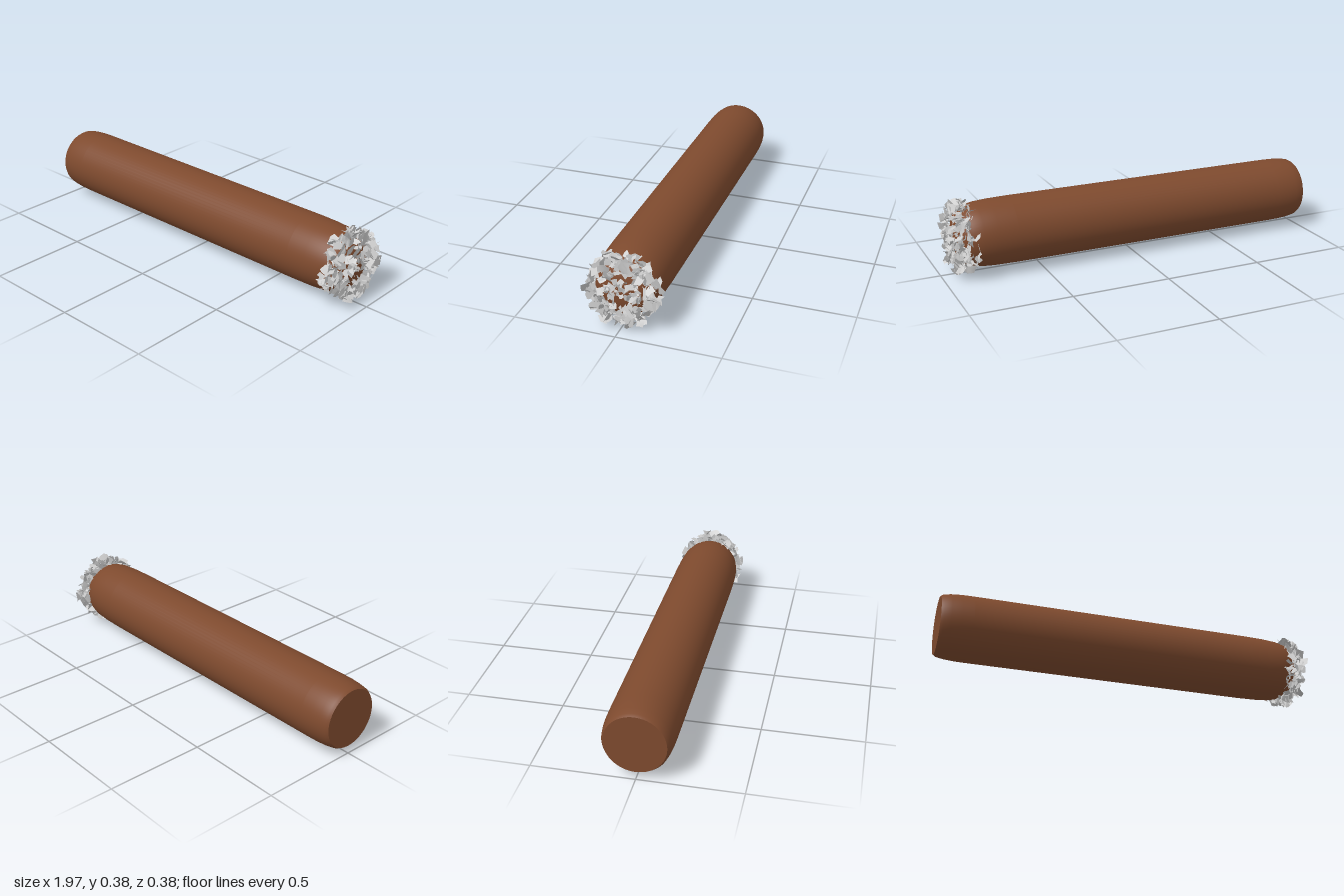
import * as THREE from 'three';
import { mergeGeometries } from 'three/addons/utils/BufferGeometryUtils.js';

const CENTER_Y = 0.192;

// Small seeded generator
function seeded(seed) {
  return () => {
    seed = (seed * 1664525 + 1013904223) >>> 0;
    return seed / 4294967296;
  };
}

// Rolled body: a lathe around x, flat at one end and rounded at the burnt tip
function createBody() {
  const profile = [
    [0.148, -1], [0.157, -0.985], [0.163, -0.95], [0.167, -0.9], [0.168, -0.84],
    [0.168, 0.64], [0.166, 0.74], [0.161, 0.81], [0.15, 0.86], [0.13, 0.895],
    [0.1, 0.915], [0.05, 0.925], [0, 0.928],
  ].map(([r, x]) => new THREE.Vector2(r, x));
  const brown = new THREE.MeshStandardMaterial({ color: 0x7e4a2e });
  const group = new THREE.Group();
  group.name = 'body';

  const wrapper = new THREE.Mesh(new THREE.LatheGeometry(profile, 64), brown);
  wrapper.name = 'wrapper';
  wrapper.rotation.z = -Math.PI / 2;

  const cap = new THREE.Mesh(new THREE.CircleGeometry(0.148, 64), brown);
  cap.name = 'endCap';
  cap.rotation.y = -Math.PI / 2;
  cap.position.x = -1;

  group.add(wrapper, cap);
  return group;
}

// One curled, ragged flake made by bending a small plane
function createFlake(size, rand) {
  const flake = new THREE.PlaneGeometry(size, size * (0.6 + 0.5 * rand()), 2, 2);
  const p = flake.attributes.position;
  const curl = (rand() - 0.5) * 14;
  for (let i = 0; i < p.count; i++) {
    const x = p.getX(i) + (rand() - 0.5) * size * 0.4;
    const y = p.getY(i) + (rand() - 0.5) * size * 0.4;
    p.setXYZ(i, x, y, curl * (x * x + 0.5 * x * y));
  }
  flake.computeVertexNormals();
  return flake;
}

// Ash: flakes crowded around the rim, sparser on the face of the tip
function createAsh() {
  const rand = seeded(17);
  const flakes = [];
  const dummy = new THREE.Object3D();
  const COUNT = 330;
  for (let i = 0; i < COUNT; i++) {
    const onRim = i < COUNT * 0.77;
    const angle = i * 2.39996 + rand() * 0.4;
    const r = onRim ? 0.125 + 0.042 * rand() : 0.115 * Math.sqrt(rand());
    const x = onRim ? 0.845 + 0.1 * rand() : 0.925 + 0.03 * rand();
    const flake = createFlake(onRim ? 0.03 + 0.022 * rand() : 0.018 + 0.026 * rand(), rand);
    dummy.position.set(x, r * Math.cos(angle), r * Math.sin(angle));
    dummy.rotation.set(rand() * 6.28, rand() * 6.28, rand() * 6.28);
    dummy.updateMatrix();
    flake.applyMatrix4(dummy.matrix);
    // Keep the crust inside its overall outline
    const p = flake.attributes.position;
    for (let k = 0; k < p.count; k++) {
      const d = Math.hypot(p.getY(k), p.getZ(k));
      const s = Math.min(1, 0.191 / Math.max(d, 1e-6));
      p.setXYZ(k, THREE.MathUtils.clamp(p.getX(k), 0.81, 1), p.getY(k) * s, p.getZ(k) * s);
    }
    flakes.push(flake);
  }
  const ash = new THREE.Mesh(
    mergeGeometries(flakes),
    new THREE.MeshStandardMaterial({ color: 0xcccccc, side: THREE.DoubleSide }),
  );
  ash.name = 'ashFlakes';
  return ash;
}

export function createModel() {
  const model = new THREE.Group();
  model.name = 'cigar';
  const body = createBody();
  const ash = createAsh();
  body.position.y = CENTER_Y;
  ash.position.y = CENTER_Y;
  model.add(body, ash);
  return model;
}
